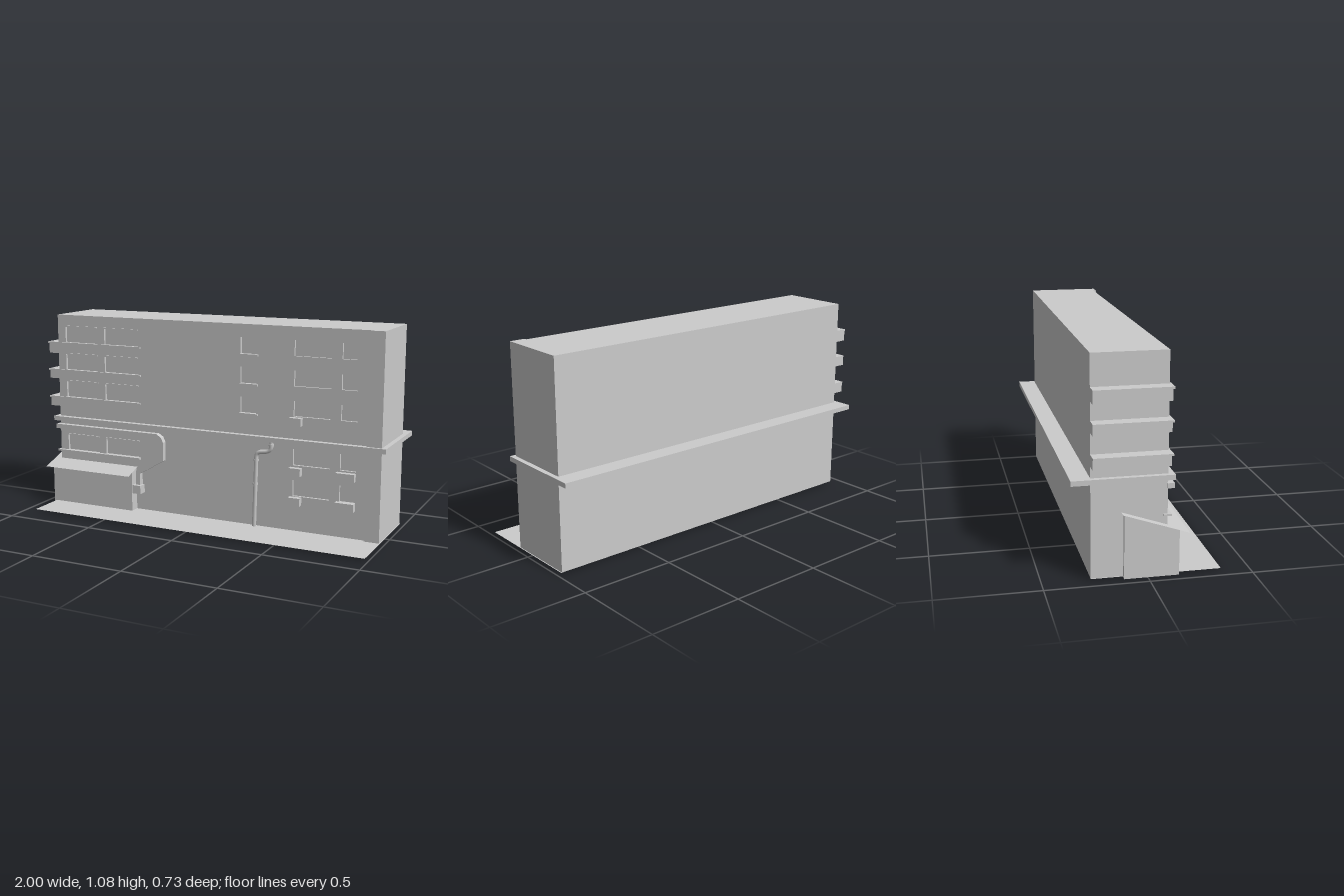
import * as THREE from 'three';

const WALL = 0.095, BACK = -0.27, BASE = 0.008, TOP = 1.08;

export function createModel() {
  const model = new THREE.Group();
  model.name = 'apartmentBlock';
  const grey = new THREE.MeshStandardMaterial({ color: 0xcccccc });
  const thin = new THREE.MeshStandardMaterial({ color: 0xcccccc, side: THREE.DoubleSide });

  const add = (name, geometry, material = grey) => {
    const mesh = new THREE.Mesh(geometry, material);
    mesh.name = name;
    model.add(mesh);
    return mesh;
  };
  // Box given by its limits on each axis
  const box = (name, x0, x1, y0, y1, z0, z1) =>
    add(name, new THREE.BoxGeometry(x1 - x0, y1 - y0, z1 - z0))
      .position.set((x0 + x1) / 2, (y0 + y1) / 2, (z0 + z1) / 2);
  const polygon = (points) => new THREE.Shape(points.map(([x, y]) => new THREE.Vector2(x, y)));
  const rect = (x0, x1, y0, y1) => polygon([[x0, y0], [x1, y0], [x1, y1], [x0, y1]]);

  // Window openings: [x0, x1, y0, y1]
  const windows = [];
  const leftBays = [[-0.885, -0.675], [-0.63, -0.415]];
  const rightBays = [[0.5, 0.7], [0.755, 0.84]];
  const floors = [0.925, 0.77, 0.613];
  for (const y of floors) {
    for (const [a, b] of leftBays) windows.push([a, b, y, y + 0.095]);
    windows.push([0.2, 0.29, y, y + 0.086]);
    for (const [a, b] of rightBays) windows.push([a, b, y + 0.004, y + 0.086]);
  }
  for (const [a, b] of leftBays) windows.push([a, b, 0.304, 0.4]);
  for (const y of [0.36, 0.195])
    for (const [a, b] of rightBays) windows.push([a, b, y, y + 0.087]);

  // Main block with a pierced facade in front, so the windows sit recessed
  const recess = 0.014;
  box('buildingBody', -0.935, 0.895, BASE, TOP, BACK, WALL - recess);
  const facade = rect(-0.935, 0.895, BASE, TOP);
  for (const w of windows) facade.holes.push(rect(...w));
  add('facade', new THREE.ExtrudeGeometry(facade, { depth: recess, bevelEnabled: false }))
    .position.z = WALL - recess;
  box('endPier', 0.895, 0.975, BASE, TOP, BACK, 0.11);

  // Lintels over the left windows
  for (const y of [1.02, 0.865, 0.71, 0.4])
    for (const [a, b] of leftBays) box('windowLintel', a, b, y - 0.007, y, WALL - 0.012, WALL + 0.006);

  // Sills and the side balconies that carry on round the corner
  const balconyBottoms = [0.86, 0.715, 0.555];
  floors.forEach((y, i) => {
    box('balconySill', -1, -0.4, y - 0.01, y, BACK, WALL + 0.009);
    box('balcony', -0.997, -0.935, balconyBottoms[i], y - 0.01, BACK, WALL);
    box('windowSill', 0.19, 0.3, y - 0.01, y, WALL - 0.012, WALL + 0.012);
  });
  box('lowerSill', -0.945, -0.405, 0.294, 0.304, WALL - 0.02, WALL + 0.018);

  // Ledge all round the block, and the pavement
  box('ledge', -0.96, 1, 0.475, 0.5, -0.365, 0.125);
  const ground = new THREE.PlaneGeometry(1.92, 0.63).rotateX(-Math.PI / 2);
  add('pavement', ground, thin).position.set(0.02, BASE, 0.045);

  // Shop front: side profile in z and y, pushed along x, under a sloping awning
  const slope = (z) => 0.215 + (0.195 - z) * 0.345;
  const shop = new THREE.ExtrudeGeometry(
    polygon([[-0.15, 0], [0.115, 0], [0.115, slope(-0.115) - 0.002], [-0.15, slope(0.15) - 0.002]]),
    { depth: 0.52, bevelEnabled: false });
  add('shopFront', shop.rotateY(Math.PI / 2)).position.x = -0.955;
  const awning = new THREE.PlaneGeometry(0.545, 0.32).rotateX(-Math.PI / 2);
  const p = awning.attributes.position;
  for (let i = 0; i < p.count; i++) p.setXYZ(i, p.getX(i) - 0.7025, slope(p.getZ(i) + 0.035), p.getZ(i) + 0.035);
  awning.computeVertexNormals();
  add('awning', awning, thin);

  // Flat duct running over the shop and bending down to a vent box
  const duct = polygon([
    [-0.945, 0.43], [-0.3, 0.43], [-0.283, 0.42], [-0.275, 0.4], [-0.275, 0.322], [-0.422, 0.235], [-0.422, 0.15],
    [-0.397, 0.15], [-0.397, 0.22], [-0.25, 0.307], [-0.25, 0.41], [-0.262, 0.437], [-0.29, 0.455], [-0.945, 0.455]]);
  add('duct', new THREE.ExtrudeGeometry(duct, { depth: 0.035, bevelEnabled: false })).position.z = 0.09;
  box('ventBox', -0.44, -0.385, 0.108, 0.155, 0.095, 0.145);

  // Drainpipe with a double bend up to the ledge
  const pipeZ = 0.11;
  const path = new THREE.CurvePath();
  const v = (x, y) => new THREE.Vector3(x, y, pipeZ);
  path.add(new THREE.LineCurve3(v(0.29, 0), v(0.3, 0.385)));
  path.add(new THREE.QuadraticBezierCurve3(v(0.3, 0.385), v(0.301, 0.415), v(0.33, 0.417)));
  path.add(new THREE.LineCurve3(v(0.33, 0.417), v(0.355, 0.42)));
  path.add(new THREE.QuadraticBezierCurve3(v(0.355, 0.42), v(0.385, 0.425), v(0.385, 0.455)));
  path.add(new THREE.LineCurve3(v(0.385, 0.455), v(0.385, 0.478)));
  add('drainpipe', new THREE.TubeGeometry(path, 80, 0.011, 10), thin);
  for (const [x, y] of [[0.2995, 0.37], [0.296, 0.24], [0.385, 0.458]])
    add('pipeCollar', new THREE.CylinderGeometry(0.014, 0.014, 0.01, 10)).position.set(x, y, pipeZ);

  // Air conditioners under the right-hand windows
  for (const [x0, x1, y0] of [
    [0.485, 0.55, 0.572], [0.485, 0.55, 0.308], [0.485, 0.55, 0.15],
    [0.74, 0.84, 0.31], [0.74, 0.84, 0.155]])
    box('airConditioner', x0, x1, y0, y0 + 0.042, WALL - 0.01, 0.125);

  return model;
}
